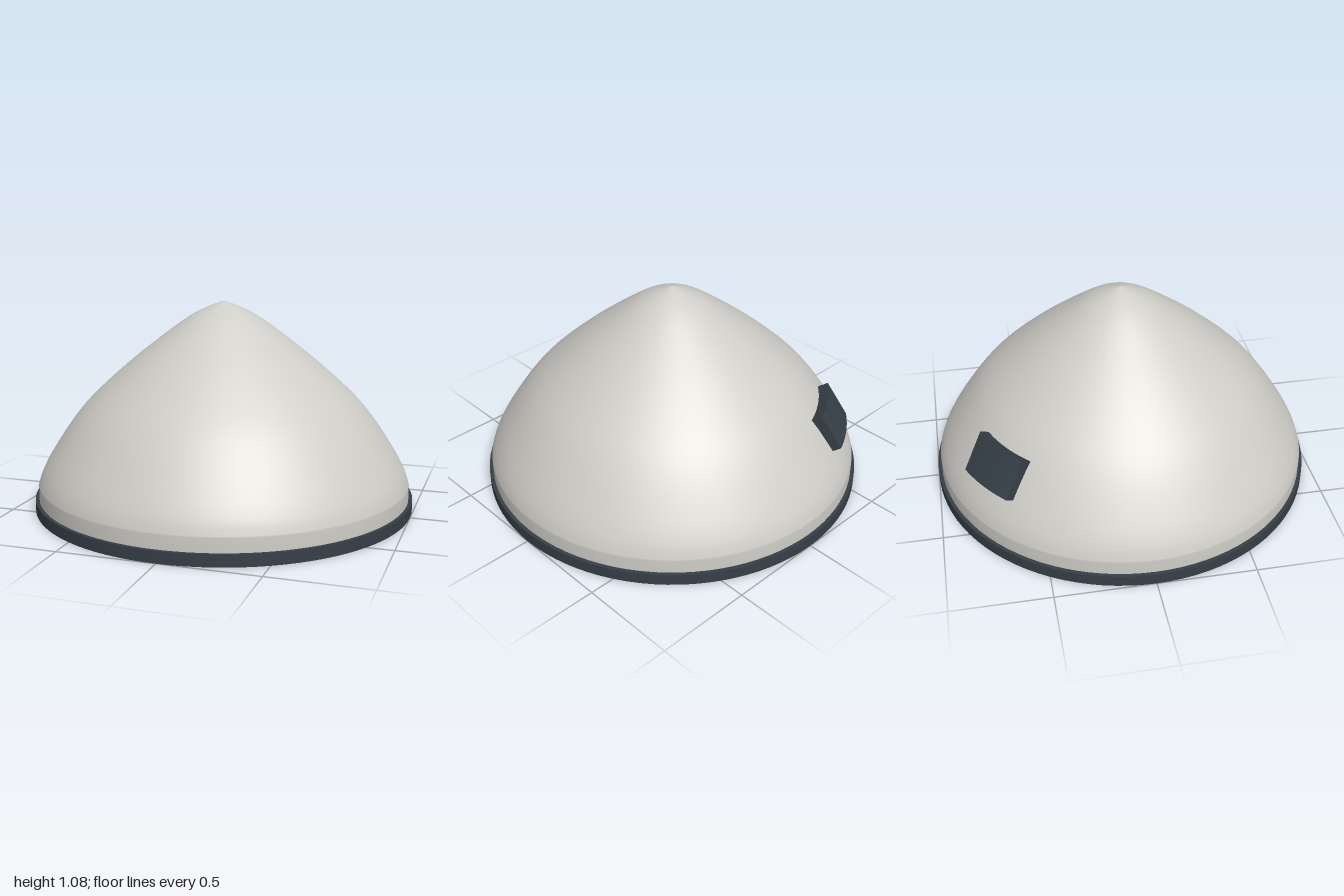
import * as THREE from 'three';
import { toCreasedNormals } from 'three/addons/utils/BufferGeometryUtils.js';

const SEGMENTS = 96;

export function createModel() {
  const model = new THREE.Group();
  const shellGrey = new THREE.MeshStandardMaterial({ color: 0xcfcdc7 });
  shellGrey.name = 'shellGrey';
  const darkSlate = new THREE.MeshStandardMaterial({ color: 0x363f47 });
  darkSlate.name = 'darkSlate';

  const add = (name, geometry, material) => {
    const mesh = new THREE.Mesh(geometry, material);
    mesh.name = name;
    model.add(mesh);
  };

  // Square-edged ring around the y axis
  const ring = (inner, outer, bottom, top) => {
    const corners = [[inner, bottom], [outer, bottom], [outer, top], [inner, top], [inner, bottom]];
    const profile = corners.map(([r, y]) => new THREE.Vector2(r, y));
    return toCreasedNormals(new THREE.LatheGeometry(profile, SEGMENTS), 0.6);
  };

  // Curved dome profile above a short straight collar
  const curve = new THREE.SplineCurve([
    [0.98, 0.13], [0.955, 0.2], [0.9, 0.3], [0.8, 0.45], [0.7, 0.57], [0.55, 0.71],
    [0.4, 0.835], [0.2, 0.985], [0.09, 1.045], [0, 1.08],
  ].map(([r, y]) => new THREE.Vector2(r, y)));
  const outer = [new THREE.Vector2(0.98, 0), new THREE.Vector2(0.98, 0.06), ...curve.getPoints(48)];
  outer[outer.length - 1].x = 0;
  add('domeOuter', new THREE.LatheGeometry(outer, SEGMENTS), shellGrey);

  // Inside of the thin shell, running downwards so it faces inwards
  const inner = outer.map((p) => new THREE.Vector2(p.x * 0.982, p.y * 0.982)).reverse();
  add('domeInner', new THREE.LatheGeometry(inner, SEGMENTS), shellGrey);
  add('domeRim', ring(0.962, 0.98, 0, 0.01), shellGrey);

  // Base band outside and separate seal ring inside
  add('baseBand', ring(0.981, 1, 0, 0.06), darkSlate);
  add('innerSeal', ring(0.917, 0.947, 0, 0.055), darkSlate);

  // Bent plate that follows the slope and the curve of the dome
  const depth = 0.06;
  const plate = new THREE.BoxGeometry(0.325, 0.211, depth, 10, 1, 1);
  const pos = plate.attributes.position;
  for (let i = 0; i < pos.count; i++) {
    const up = pos.getY(i);
    const out = pos.getZ(i) - depth / 2;
    const r = 0.881 - 0.521 * up + 0.853 * out;
    const y = 0.42 + 0.853 * up + 0.521 * out;
    const angle = pos.getX(i) / r;
    pos.setXYZ(i, r * Math.sin(angle), y, r * Math.cos(angle));
  }
  plate.rotateY(Math.PI + THREE.MathUtils.degToRad(34));
  add('sidePlate', toCreasedNormals(plate, 0.6), darkSlate);

  return model;
}
